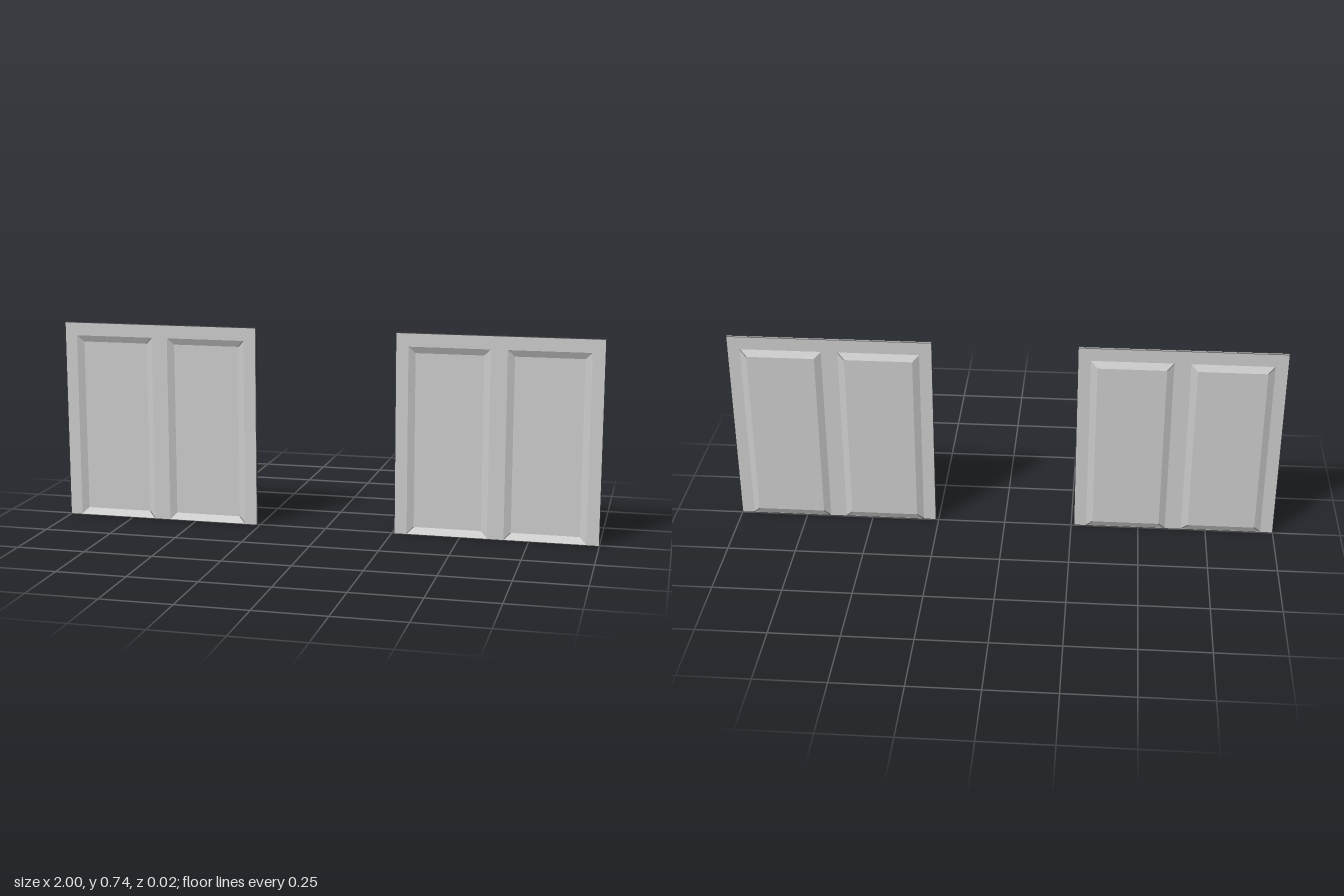
import * as THREE from 'three';

const SIZE = 0.74;       // panel width and height
const THICK = 0.0115;    // sheet thickness, also the depth of each recess
const SLOPE = 0.024;     // width of the sloping recess border
const PAN = { inner: 0.03, outer: 0.324, bottom: 0.003, top: 0.691 };

const material = new THREE.MeshStandardMaterial({ color: 0xcccccc, flatShading: true });

// Corners of a rectangle, counter-clockwise seen from the front
function ring(x0, x1, y0, y1, z) {
  return [[x0, y0, z], [x1, y0, z], [x1, y1, z], [x0, y1, z]];
}

// Pressed pan: sloping borders and floor, front skin plus an offset back skin
function panGeometry(x0, x1, y0, y1) {
  const pos = [];
  const quad = (a, b, c, d) => pos.push(...a, ...b, ...c, ...a, ...c, ...d);
  for (const [z, front] of [[THICK, true], [0, false]]) {
    const rim = ring(x0, x1, y0, y1, z);
    const floor = ring(x0 + SLOPE, x1 - SLOPE, y0 + SLOPE, y1 - SLOPE, z - THICK);
    const face = (a, b, c, d) => (front ? quad(a, b, c, d) : quad(d, c, b, a));
    face(...floor);
    for (let i = 0; i < 4; i++) {
      const j = (i + 1) % 4;
      face(rim[i], rim[j], floor[j], floor[i]);
    }
  }
  const geo = new THREE.BufferGeometry();
  geo.setAttribute('position', new THREE.Float32BufferAttribute(pos, 3));
  geo.computeVertexNormals();
  return geo;
}

function rectPath(path, corners) {
  path.setFromPoints(corners.map(([x, y]) => new THREE.Vector2(x, y)));
  return path;
}

// One door panel: flat frame with two tall pans side by side
function createPanel(name) {
  const panel = new THREE.Group();
  panel.name = name;
  const h = SIZE / 2;
  const shape = rectPath(new THREE.Shape(), ring(-h, h, 0, SIZE, 0));

  const spans = [[-PAN.outer, -PAN.inner, 'rightPan'], [PAN.inner, PAN.outer, 'leftPan']];
  for (const [x0, x1, panName] of spans) {
    shape.holes.push(rectPath(new THREE.Path(), ring(x0, x1, PAN.bottom, PAN.top, 0).reverse()));
    const pan = new THREE.Mesh(panGeometry(x0, x1, PAN.bottom, PAN.top), material);
    pan.name = panName;
    panel.add(pan);
  }

  const frame = new THREE.Mesh(
    new THREE.ExtrudeGeometry(shape, { depth: THICK, bevelEnabled: false }), material);
  frame.name = 'frame';
  panel.add(frame);
  return panel;
}

export function createModel() {
  const model = new THREE.Group();
  model.name = 'doorPanels';
  for (const [side, name] of [[-1, 'rightPanel'], [1, 'leftPanel']]) {
    const panel = createPanel(name);
    panel.position.x = side * (1 - SIZE / 2);
    model.add(panel);
  }
  return model;
}
